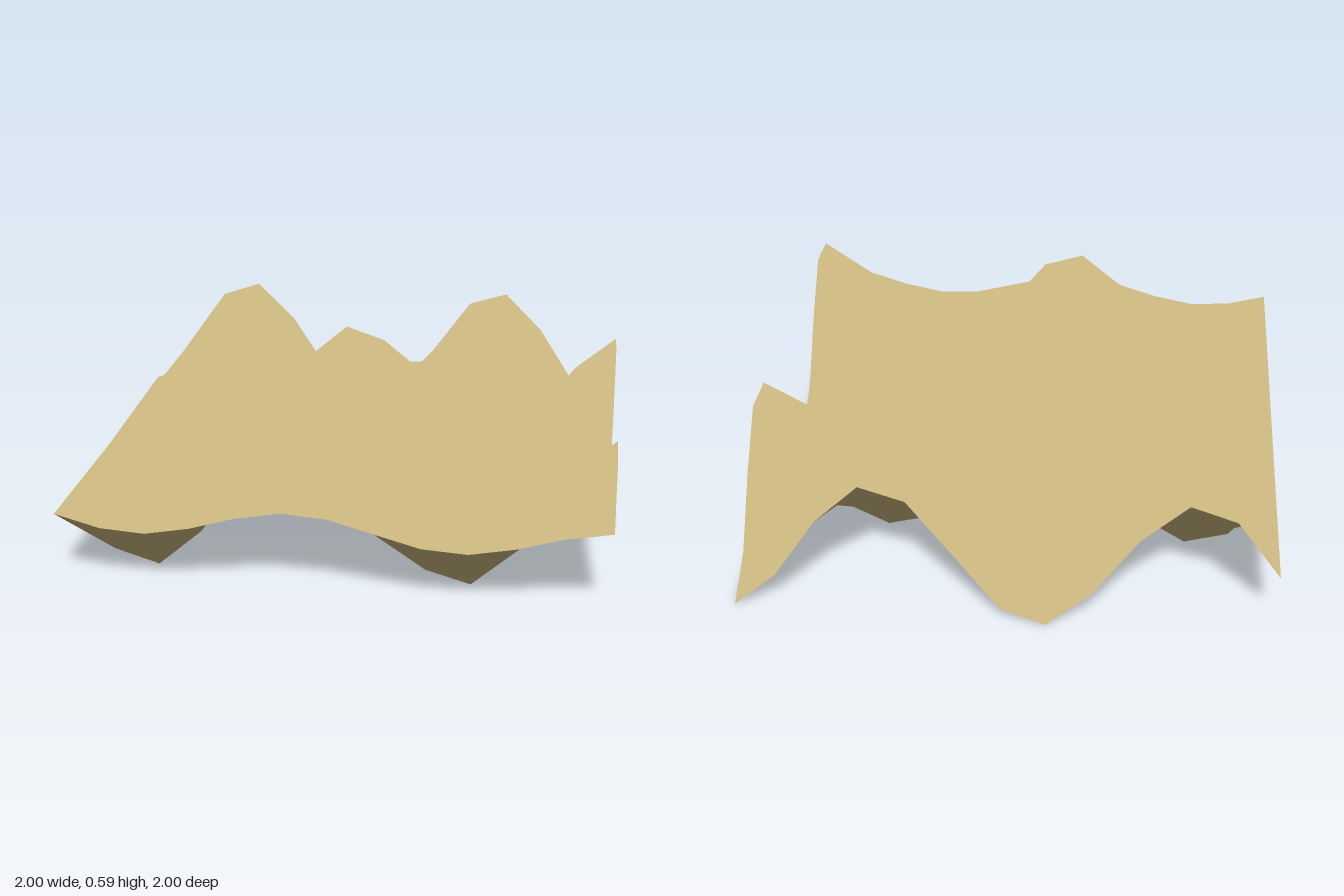
import * as THREE from 'three';

const SIZE = 2;        // side of the square sheet
const CELLS = 12;      // grid cells per side
const WAVE = 0.9;      // phase advance per grid step
const HEIGHT = 0.3;    // wave amplitude
const MIDDLE = 0.295;  // resting level of the sheet

// Rolling dunes: crossed sine and cosine waves sampled on a coarse grid.
// The flat sheet's upward normals are kept, so the shading stays even.
function duneSheet() {
  const geometry = new THREE.PlaneGeometry(SIZE, SIZE, CELLS, CELLS).rotateX(-Math.PI / 2);
  const position = geometry.attributes.position;
  for (let n = 0; n < position.count; n++) {
    const column = n % (CELLS + 1);
    const row = Math.floor(n / (CELLS + 1));
    position.setY(n, MIDDLE + HEIGHT * Math.sin(WAVE * column) * Math.cos(WAVE * row));
  }
  return geometry;
}

export function createModel() {
  const group = new THREE.Group();
  group.name = 'terrain';

  // Open sheet, visible from above and below
  const sand = new THREE.MeshStandardMaterial({ color: 0xd2bd84, side: THREE.DoubleSide });
  const dunes = new THREE.Mesh(duneSheet(), sand);
  dunes.name = 'dunes';
  group.add(dunes);

  return group;
}
